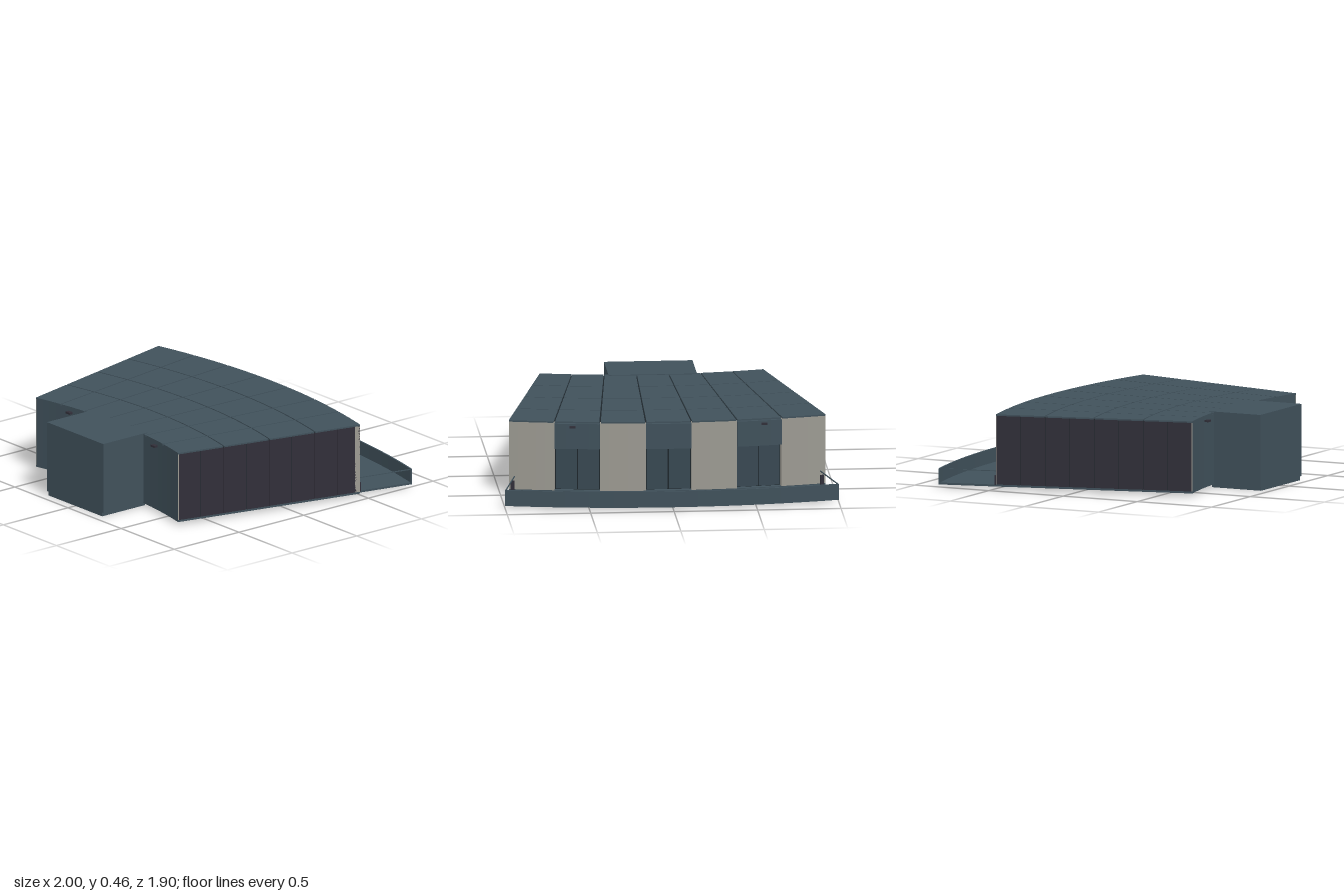
import * as THREE from 'three';

const mat = (name, color) => {
  const m = new THREE.MeshStandardMaterial({ color });
  m.name = name;
  return m;
};

const APEX = 3.52;            // z of the common centre of all arcs
const HALF = 13.35;           // half opening angle in degrees
const R0 = 2.9, R1 = 4.11;    // front and back wall radii
const COLS = 7, ROWS = 4, SIDE_PANELS = 8;
const STEP = (2 * HALF) / COLS;

// Solid ring segment between two radii, two angles (degrees) and two heights
function sector(r0, r1, a0, a1, y0, y1) {
  const n = Math.max(1, Math.ceil((a1 - a0) / 0.95));
  const pts = [];
  const at = (r, i) => {
    const a = THREE.MathUtils.degToRad(a0 + ((a1 - a0) * i) / n);
    return new THREE.Vector2(r * Math.sin(a), r * Math.cos(a));
  };
  for (let i = 0; i <= n; i++) pts.push(at(r0, i));
  for (let i = n; i >= 0; i--) pts.push(at(r1, i));
  const g = new THREE.ExtrudeGeometry(new THREE.Shape(pts), { depth: y1 - y0, bevelEnabled: false });
  g.rotateX(-Math.PI / 2);
  g.translate(0, y0, APEX);
  return g;
}

export function createModel() {
  const root = new THREE.Group();
  root.name = 'wedgeRoomModule';

  const slate = mat('slate', 0x40515b);
  const charcoal = mat('charcoal', 0x312f39);
  const stone = mat('stone', 0x9c9a92);
  const glass = mat('darkGlass', 0x384852);
  const seam = mat('seam', 0x1d262b);

  const add = (name, geo, material, parent = root) => {
    const m = new THREE.Mesh(geo, material);
    m.name = name;
    parent.add(m);
    return m;
  };
  const box = (name, w, h, d, x, y, z, material, parent) => {
    const m = add(name, new THREE.BoxGeometry(w, h, d), material, parent);
    m.position.set(x, y, z);
    return m;
  };
  const group = (name) => {
    const g = new THREE.Group();
    g.name = name;
    root.add(g);
    return g;
  };

  // Floor and dark inner body that shows in the seams
  add('floor', sector(R0, R1, -HALF, HALF, 0.02, 0.032), slate);
  add('innerBody', sector(R0 + 0.006, R1 - 0.035, -HALF + 0.1, HALF - 0.1, 0.032, 0.447), seam);

  // Roof panels with narrow grooves
  const roof = group('roof');
  const rowDepth = (R1 - R0) / ROWS;
  for (let c = 0; c < COLS; c++) {
    for (let r = 0; r < ROWS; r++) {
      const a = -HALF + c * STEP, q = R0 + r * rowDepth;
      add('roofPanel', sector(
        q + (r ? 0.004 : 0), q + rowDepth - (r < ROWS - 1 ? 0.004 : 0),
        a + (c ? 0.065 : 0), a + STEP - (c < COLS - 1 ? 0.065 : 0), 0.446, 0.455), slate, roof);
    }
  }

  // Side walls split into upright panels, with pale corner strips
  const sides = group('sideWalls');
  const panel = (R1 - R0) / SIDE_PANELS;
  for (const s of [-1, 1]) {
    const span = s > 0 ? [HALF - 0.1, HALF] : [-HALF, -HALF + 0.1];
    for (let i = 0; i < SIDE_PANELS; i++) {
      const q = R0 + i * panel;
      add('sidePanel', sector(q + (i ? 0.002 : 0.006), q + panel - 0.002, ...span, 0.032, 0.446), charcoal, sides);
    }
    add('cornerStrip', sector(R0, R0 + 0.006, ...span, 0.032, 0.446), stone, sides);
  }

  // Curved front wall with small lamps
  add('frontWall', sector(R0, R0 + 0.006, -HALF + 0.1, HALF - 0.1, 0.032, 0.446), slate);
  for (const s of [-1, 1]) {
    box('frontLamp', 0.036, 0.012, 0.025, s * 0.4, 0.422, 0.662, charcoal);
    box('backLamp', 0.036, 0.012, 0.025, s * 0.575, 0.425, -0.56, charcoal);
  }

  // Entrance block on its base plate
  const entrance = group('entrance');
  box('entranceBody', 0.53, 0.435, 0.342, 0, 0.2415, 0.774, slate, entrance);
  box('entranceBase', 0.505, 0.024, 0.33, 0, 0.012, 0.778, slate, entrance);

  // Back wall: stone panels alternate with glazed doors
  const back = group('backWall');
  for (let c = 0; c < COLS; c++) {
    const a = -HALF + c * STEP, b = a + STEP, mid = (a + b) / 2;
    if (c % 2 === 0) {
      add('stonePanel', sector(R1 - 0.035, R1, a, b, 0.032, 0.446), stone, back);
      continue;
    }
    add('doorHeader', sector(R1 - 0.035, R1 + 0.012, a + 0.02, b - 0.02, 0.29, 0.444), slate, back);
    for (const [p, q] of [[a + 0.1, mid - 0.05], [mid + 0.05, b - 0.1]]) {
      add('doorLeaf', sector(R1 - 0.035, R1 - 0.026, p, q, 0.036, 0.288), glass, back);
    }
  }

  // Balcony: deck, curved parapet, open side rails and posts
  const balcony = group('balcony');
  const BA = 12.92, RB = 4.472;
  add('deck', sector(R1 - 0.08, RB, -BA, BA, 0.015, 0.027), slate, balcony);
  add('parapet', sector(RB - 0.01, RB, -BA, BA, 0.027, 0.112), slate, balcony);
  for (const s of [-1, 1]) {
    const thin = s > 0 ? [BA - 0.08, BA] : [-BA, -BA + 0.08];
    add('sideRail', sector(R1 - 0.01, RB - 0.01, ...thin, 0.107, 0.112), slate, balcony);
    const post = s > 0 ? [BA - 0.05, BA + 0.25] : [-BA - 0.25, -BA + 0.05];
    add('railPost', sector(R1, R1 + 0.012, ...post, 0.027, 0.085), charcoal, balcony);
  }
  return root;
}
